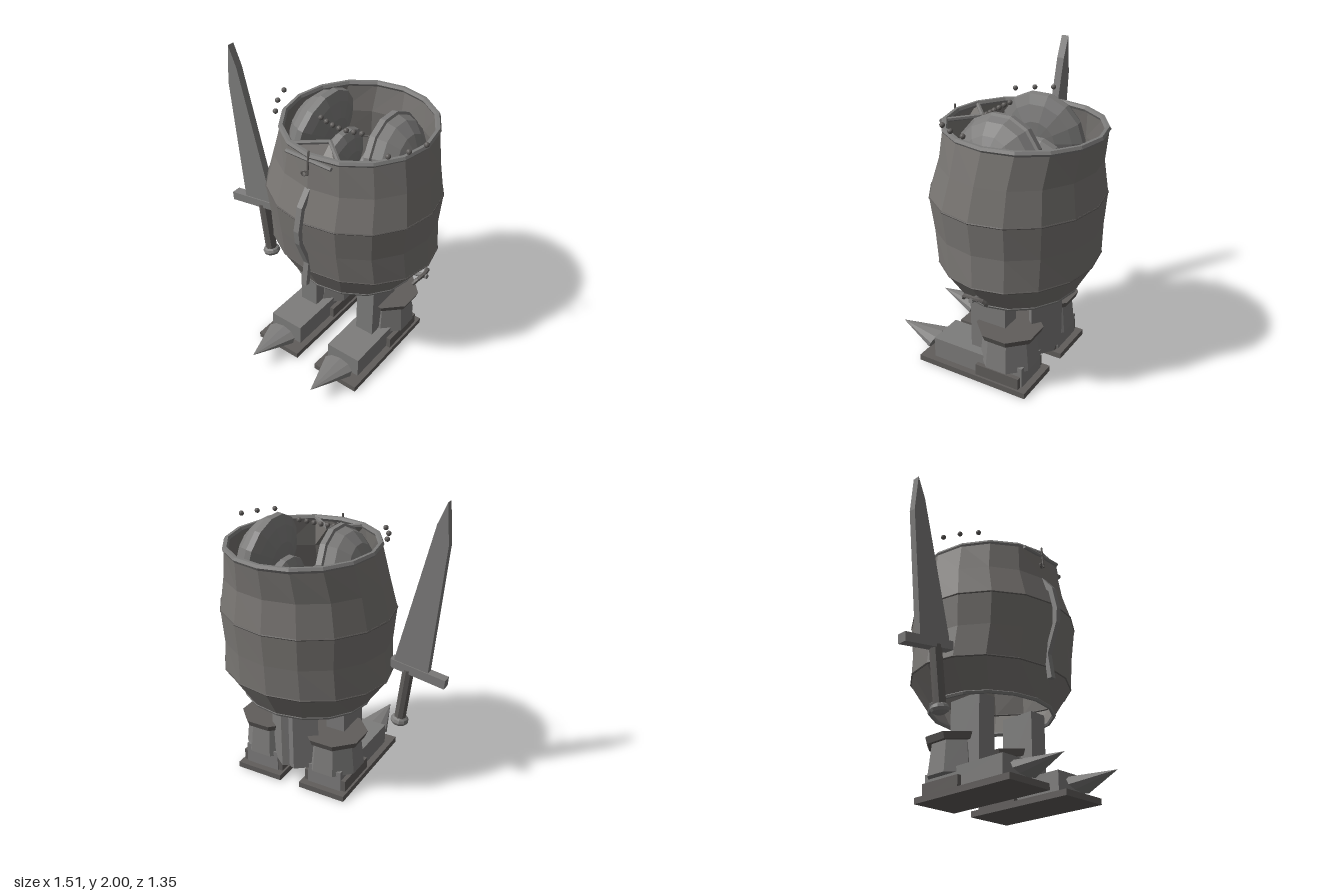
import * as THREE from 'three';

const make = (name, color, side = THREE.FrontSide) => {
  const m = new THREE.MeshStandardMaterial({ color, side, flatShading: true });
  m.name = name;
  return m;
};

export function createModel() {
  const root = new THREE.Group();
  const steel = make('steel grey', 0x7d7c7b);
  const shell = make('barrel grey', 0x797673, THREE.DoubleSide);
  const dark = make('dark iron', 0x605d5b);
  const CX = 0.16;

  const add = (name, geo, mat, x = 0, y = 0, z = 0) => {
    const mesh = new THREE.Mesh(geo, mat);
    mesh.name = name;
    mesh.position.set(x, y, z);
    root.add(mesh);
    return mesh;
  };
  const box = (name, mat, x0, x1, y0, y1, z0, z1) =>
    add(name, new THREE.BoxGeometry(x1 - x0, y1 - y0, z1 - z0), mat, (x0 + x1) / 2, (y0 + y1) / 2, (z0 + z1) / 2);
  const extrude = (pts, depth) => {
    const shape = new THREE.Shape(pts.map(p => new THREE.Vector2(p[0], p[1])));
    return new THREE.ExtrudeGeometry(shape, { depth, bevelEnabled: false });
  };
  const surface = (name, verts) => {
    const geo = new THREE.BufferGeometry();
    geo.setAttribute('position', new THREE.Float32BufferAttribute(verts, 3));
    geo.computeVertexNormals();
    return add(name, geo, shell);
  };
  // Cylinder running from one point to another
  const rod = (name, mat, a, b, r, sides = 8) => {
    const A = new THREE.Vector3(...a), B = new THREE.Vector3(...b), d = B.clone().sub(A);
    const mesh = add(name, new THREE.CylinderGeometry(r, r, d.length(), sides), mat);
    mesh.position.copy(A).add(B).multiplyScalar(0.5);
    mesh.quaternion.setFromUnitVectors(new THREE.Vector3(0, 1, 0), d.normalize());
    return mesh;
  };

  // Barrel body: elliptical rings [y, centre z, half width, half depth]
  const N = 16;
  const rings = [
    [1.67, -0.163, 0.487, 0.505], [1.46, -0.138, 0.535, 0.5], [1.245, -0.118, 0.578, 0.55],
    [1.03, -0.125, 0.56, 0.525], [0.82, -0.137, 0.577, 0.503], [0.63, -0.132, 0.442, 0.4],
  ];
  const point = ([y, cz, rx, rz], j) => {
    const a = j / N * Math.PI * 2;
    return [CX + rx * Math.sin(a), y, cz + rz * Math.cos(a)];
  };
  const quad = (a, b, c, d) => [...a, ...b, ...c, ...a, ...c, ...d];
  const staves = [];
  for (let i = 0; i < rings.length - 1; i++) for (let j = 0; j < N; j++)
    staves.push(...quad(point(rings[i], j), point(rings[i + 1], j), point(rings[i + 1], j + 1), point(rings[i], j + 1)));
  surface('barrelBody', staves);

  // Folded gusset inside the front wall
  const apex = [CX, 1.67, 0.14];
  const [top, low] = rings;
  surface('frontGusset', [
    ...quad(apex, point(low, 0), point(low, 1), point(top, 1)),
    ...quad(point(top, -1), point(low, -1), point(low, 0), apex),
  ]);
  for (const s of [-1, 1]) rod('gussetEdge', steel, apex, [CX + s * 0.186, 1.67, 0.3], 0.014, 6);

  // Hoops round the barrel
  [[0, 0.02, 'topRim', steel], [2, 0.007, 'upperHoop', dark], [4, 0.007, 'lowerHoop', dark], [5, 0.017, 'bottomRim', steel]]
    .forEach(([i, t, name, mat]) => {
      const [y, cz, rx, rz] = rings[i];
      const hoop = new THREE.TorusGeometry(1, t / 0.5, 6, N);
      hoop.rotateX(Math.PI / 2).scale(rx - t * 0.5, 0.5, rz - t * 0.5);
      add(name, hoop, mat, CX, y, cz);
    });

  // Top bar, hanging pin and hook on the front
  rod('frontBar', steel, [-0.01, 1.647, 0.342], [0.32, 1.647, 0.342], 0.013, 6);
  rod('hangingPin', dark, [CX, 1.55, 0.36], [CX, 1.71, 0.345], 0.007, 6);
  const hook = add('hook', new THREE.TorusGeometry(0.016, 0.006, 6, 10), dark, 0.135, 1.555, 0.36);
  hook.rotation.y = 0.4;

  // Curved nose guard down the front
  const guard = extrude([
    [0.36, 1.46], [0.44, 1.36], [0.475, 1.2], [0.465, 1.1], [0.385, 0.9], [0.41, 0.73],
    [0.375, 0.73], [0.355, 0.9], [0.435, 1.1], [0.44, 1.2], [0.41, 1.34], [0.34, 1.42]], 0.038);
  guard.rotateY(-Math.PI / 2);
  add('noseGuard', guard, steel, CX + 0.019);

  // Side tap with curved handle
  rod('tapStem', steel, [0.6, 0.705, -0.13], [0.745, 0.735, -0.13], 0.015);
  const handle = new THREE.CatmullRomCurve3([
    [0.69, 0.705, -0.045], [0.71, 0.735, -0.07], [0.72, 0.742, -0.13], [0.71, 0.735, -0.19], [0.69, 0.705, -0.215],
  ].map(p => new THREE.Vector3(...p)));
  add('tapHandle', new THREE.TubeGeometry(handle, 10, 0.014, 6), dark);

  // Stacked domed plates inside the barrel: inner bulge b, outer height h
  const dome = (r, b, h) => new THREE.LatheGeometry([
    [0, -b], [r * 0.45, -b * 0.85], [r * 0.8, -b * 0.4], [r, 0], [r, 0.04], [r * 0.94, 0.045],
    [r * 0.85, h * 0.5], [r * 0.6, h * 0.8], [r * 0.3, h * 0.95], [0, h],
  ].map(p => new THREE.Vector2(...p)), 14);
  for (const s of [-1, 1]) {
    const large = add('largeDome', dome(0.29, 0.085, 0.2), steel, CX + s * 0.245, 1.515, -0.14);
    large.rotation.z = -s * (Math.PI / 2 - 0.16);
    const small = add('smallDome', dome(0.22, 0.085, 0.13), steel, CX + s * 0.13, 1.33, -0.17);
    small.rotation.z = -s * (Math.PI / 2 - 0.16);
  }

  // Floating rivets, mirrored about the body
  const bead = new THREE.IcosahedronGeometry(0.017, 1);
  const beadAt = (dx, y, z) => add('rivet', bead, dark, CX + dx, y, z);
  beadAt(0, 1.72, 0.055);
  for (const s of [-1, 1])
    [[0.05, 1.722, 0.052], [0.1, 1.726, 0.046], [0.15, 1.73, 0.035],
      [0.41, 1.735, 0.15], [0.48, 1.74, 0.045], [0.525, 1.746, -0.07]]
      .forEach(([dx, y, z]) => beadAt(s * dx, y, z));

  // Legs and feet
  for (const s of [-1, 1]) {
    const x = CX + 0.003 + s * 0.246;
    box('sole', dark, x - 0.17, x + 0.17, 0, 0.04, -0.405, 0.41);
    box('foot', steel, x - 0.125, x + 0.125, 0.04, 0.185, -0.36, 0.315);
    box('heel', dark, x - 0.155, x + 0.155, 0.04, 0.12, -0.35, -0.03);

    // Flattened spike whose tip is lifted
    const spike = new THREE.ConeGeometry(0.115, 0.3, 10);
    spike.rotateX(Math.PI / 2).scale(1, 0.48, 1);
    const p = spike.attributes.position;
    for (let i = 0; i < p.count; i++) {
      const y = p.getY(i), z = p.getZ(i);
      p.setY(i, y + (z + 0.15) * 0.13);
      if (z < 0) p.setZ(i, z - y * 0.5);
    }
    add('toeSpike', spike, steel, x, 0.1, 0.52);

    const shin = new THREE.CylinderGeometry(0.17, 0.195, 0.23, 8);
    shin.rotateY(Math.PI / 8);
    add('shin', shin, steel, x, 0.265, -0.2);
    const cuff = new THREE.CylinderGeometry(0.217, 0.2, 0.042, 8);
    cuff.rotateY(Math.PI / 8);
    add('cuff', cuff, dark, x, 0.38, -0.2);
    const inner = CX + s * 0.175, outer = CX + s * 0.307;
    box('thigh', steel, Math.min(inner, outer), Math.max(inner, outer), 0.18, 0.65, -0.2, 0.06);
  }

  // Folded panel hanging behind the legs
  const panel = extrude([
    [-0.02, 0.32], [0.01, 0.285], [0.13, 0.36], [CX, 0.37], [0.19, 0.36], [0.31, 0.285], [0.34, 0.32],
    [0.205, 0.42], [CX, 0.4], [0.115, 0.42]], 0.48);
  panel.rotateX(-Math.PI / 2);
  add('rearPanel', panel, steel, 0, 0.15, 0);

  // Sword
  const blade = extrude([
    [-0.705, 2], [-0.725, 1.74], [-0.635, 0.84], [-0.405, 0.88], [-0.405, 0.93], [-0.645, 1.86]], 0.05);
  add('swordBlade', blade, steel, 0, 0, 0.005);
  const cross = extrude([[-0.76, 0.855], [-0.755, 0.793], [-0.375, 0.86], [-0.375, 0.918]], 0.066);
  add('swordGuard', cross, steel, 0, 0, -0.003);
  rod('swordGrip', dark, [-0.495, 0.86, 0.03], [-0.447, 0.48, 0.03], 0.04);
  const pommel = add('swordPommel', new THREE.SphereGeometry(0.062, 10, 6), steel, -0.445, 0.463, 0.03);
  pommel.scale.y = 0.62;
  pommel.rotation.z = 0.16;

  return root;
}
